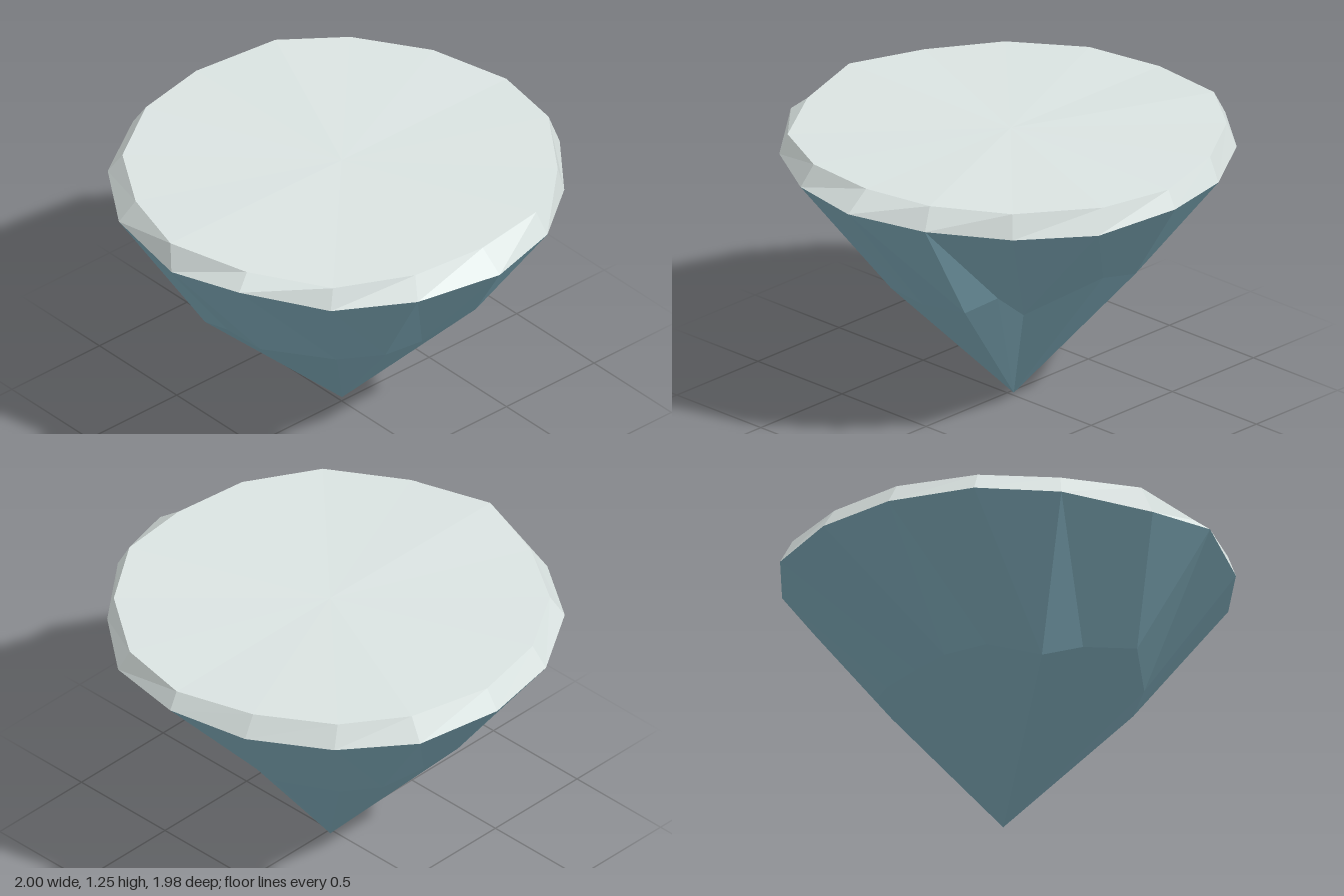
import * as THREE from 'three';

// Sixteen-sided rings of [x, y, z], going round from +x towards +z
const plateau = [
  [0.89, 1.24, -0.02], [0.85, 1.235, 0.33], [0.68, 1.225, 0.65], [0.35, 1.23, 0.85],
  [-0.02, 1.24, 0.96], [-0.37, 1.23, 0.85], [-0.67, 1.23, 0.66], [-0.87, 1.235, 0.35],
  [-0.94, 1.23, 0], [-0.87, 1.25, -0.39], [-0.68, 1.245, -0.65], [-0.37, 1.245, -0.85],
  [-0.01, 1.235, -0.95], [0.33, 1.24, -0.89], [0.65, 1.24, -0.66], [0.85, 1.25, -0.36],
];
const rim = [
  [1, 1.155, -0.02], [0.9, 1.135, 0.36], [0.7, 1.13, 0.68], [0.38, 1.17, 0.92],
  [0.02, 1.125, 0.99], [-0.41, 1.13, 0.91], [-0.72, 1.14, 0.7], [-0.93, 1.14, 0.37],
  [-1, 1.14, 0], [-0.93, 1.14, -0.4], [-0.7, 1.14, -0.69], [-0.37, 1.14, -0.9],
  [-0.01, 1.155, -0.99], [0.38, 1.13, -0.91], [0.67, 1.13, -0.68], [0.9, 1.15, -0.38],
];
const waist = [
  [0.52, 0.575, 0], [0.51, 0.59, 0.2], [0.42, 0.61, 0.4], [0.2, 0.66, 0.64],
  [-0.06, 0.61, 0.6], [-0.25, 0.535, 0.56], [-0.42, 0.6, 0.39], [-0.53, 0.575, 0.24],
  [-0.53, 0.58, 0.03], [-0.51, 0.59, -0.2], [-0.43, 0.62, -0.38], [-0.21, 0.66, -0.56],
  [0, 0.71, -0.57], [0.21, 0.52, -0.3], [0.42, 0.68, -0.35], [0.55, 0.63, -0.28],
];
const tip = [-0.02, 0, -0.02];
const crown = [-0.01, 1.238, -0.01];

// Triangles between an upper and a lower ring; leanBack picks the diagonal
function band(upper, lower, leanBack) {
  return upper.flatMap((a, j) => {
    const k = (j + 1) % upper.length;
    const b = upper[k], c = lower[k], d = lower[j];
    return leanBack ? [a, b, d, b, c, d] : [a, b, c, a, c, d];
  });
}

// Triangles from a ring to a point above or below it
function fan(ring, point, up) {
  return ring.flatMap((a, j) => {
    const b = ring[(j + 1) % ring.length];
    return up ? [b, a, point] : [a, b, point];
  });
}

function facets(name, corners, material) {
  const geometry = new THREE.BufferGeometry();
  geometry.setAttribute('position', new THREE.Float32BufferAttribute(corners.flat(), 3));
  geometry.computeVertexNormals(); // unshared corners give flat facets
  const mesh = new THREE.Mesh(geometry, material);
  mesh.name = name;
  return mesh;
}

export function createModel() {
  const paleStone = new THREE.MeshStandardMaterial({ color: 0xdae3e1, flatShading: true });
  paleStone.name = 'paleStone';
  const blueRock = new THREE.MeshStandardMaterial({ color: 0x7ba6b4, flatShading: true });
  blueRock.name = 'blueRock';

  const island = new THREE.Group();
  island.name = 'floatingIsland';
  island.add(
    facets('topSurface', fan(plateau, crown, true), paleStone),
    facets('bevelledRim', band(plateau, rim, false), paleStone),
    facets('upperRock', band(rim, waist, true), blueRock),
    facets('lowerRock', fan(waist, tip, false), blueRock),
  );
  return island;
}
